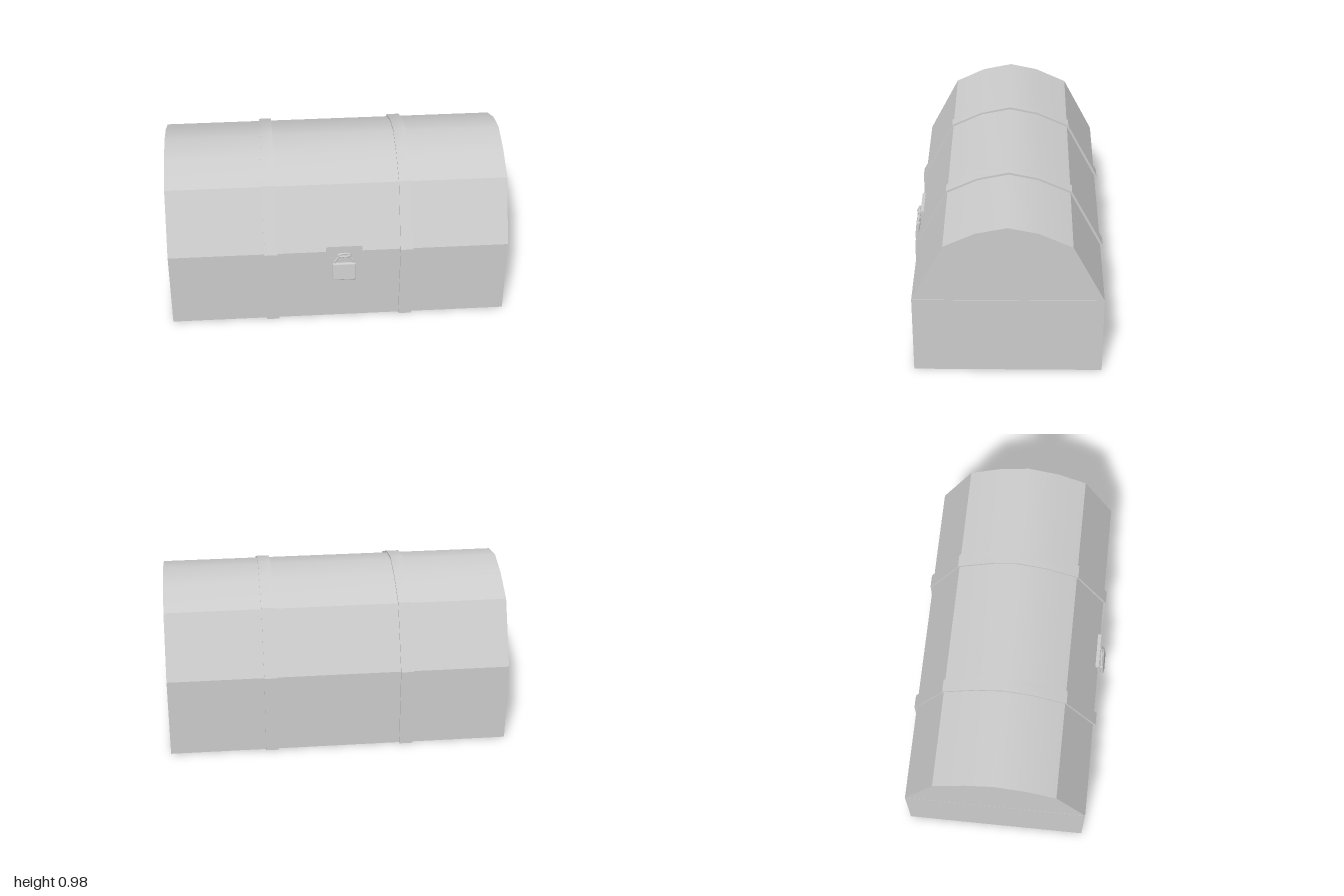
import * as THREE from 'three';
import { toCreasedNormals } from 'three/addons/utils/BufferGeometryUtils.js';
import { RoundedBoxGeometry } from 'three/addons/geometries/RoundedBoxGeometry.js';

const material = new THREE.MeshStandardMaterial({ color: 0xcccccc });
const SEAM = 0.488;

// Cross-sections as [z, y], front to back
const lidProfile = [[0.523, SEAM], [0.342, 0.84], [0.166, 0.925], [-0.012, 0.963],
  [-0.18, 0.927], [-0.368, 0.84], [-0.55, SEAM]];
const strapProfile = [[0.539, SEAM], [0.35, 0.85], [0.168, 0.935], [-0.012, 0.976],
  [-0.182, 0.939], [-0.377, 0.85], [-0.565, SEAM]];

function addMesh(parent, name, geometry, x = 0, y = 0, z = 0) {
  const mesh = new THREE.Mesh(geometry, material);
  mesh.name = name;
  mesh.position.set(x, y, z);
  parent.add(mesh);
  return mesh;
}

// Extrudes a [z, y] outline along x, centred on x = 0
function extrudeAlongX(outline, width) {
  const shape = new THREE.Shape(outline.map(([z, y]) => new THREE.Vector2(z, y)));
  const geometry = new THREE.ExtrudeGeometry(shape, { depth: width, bevelEnabled: false });
  geometry.translate(0, 0, -width / 2).rotateY(-Math.PI / 2);
  return toCreasedNormals(geometry, THREE.MathUtils.degToRad(30));
}

function boxBetween(parent, name, x, width, y0, y1, z0, z1) {
  const geometry = new THREE.BoxGeometry(width, y1 - y0, z1 - z0);
  return addMesh(parent, name, geometry, x, (y0 + y1) / 2, (z0 + z1) / 2);
}

function tube(points, radius, segments, closed = false) {
  const curve = new THREE.CatmullRomCurve3(
    points.map((p) => new THREE.Vector3(...p)), closed, 'centripetal');
  return new THREE.TubeGeometry(curve, segments, radius, 8, closed);
}

function createStrap(x) {
  const strap = new THREE.Group();
  strap.name = x > 0 ? 'leftStrap' : 'rightStrap';
  const width = 0.075;
  boxBetween(strap, 'frontStrap', x, width, 0, SEAM, 0.523, 0.539);
  boxBetween(strap, 'backStrap', x, width, 0, SEAM, -0.565, -0.55);
  const arch = [...strapProfile, ...[...lidProfile].reverse()];
  addMesh(strap, 'lidStrap', extrudeAlongX(arch, width), x);
  return strap;
}

function createLock() {
  const lock = new THREE.Group();
  lock.name = 'lock';
  lock.position.x = 0.03;

  // Hasp plate and the staple the padlock hangs from
  boxBetween(lock, 'haspPlate', 0, 0.213, 0.415, 0.522, 0.507, 0.527);
  addMesh(lock, 'staple', tube([
    [-0.034, 0.465, 0.52], [-0.034, 0.465, 0.534], [-0.022, 0.465, 0.546],
    [0.022, 0.465, 0.546], [0.034, 0.465, 0.534], [0.034, 0.465, 0.52],
  ], 0.007, 20));

  // Padlock, tilted so that its lower end leans outward
  const padlock = new THREE.Group();
  padlock.name = 'padlock';
  padlock.position.set(0, 0.415, 0.546);
  padlock.rotation.x = -0.11;
  addMesh(padlock, 'padlockBody', new RoundedBoxGeometry(0.14, 0.118, 0.024, 3, 0.01), 0, -0.056, 0);
  addMesh(padlock, 'shackle', tube([
    [-0.057, -0.01, 0], [-0.055, 0.012, 0], [-0.036, 0.04, 0], [-0.03, 0.058, 0],
    [0.03, 0.058, 0], [0.036, 0.04, 0], [0.055, 0.012, 0], [0.057, -0.01, 0],
  ], 0.007, 32));
  lock.add(padlock);
  return lock;
}

export function createModel() {
  const chest = new THREE.Group();
  chest.name = 'chest';

  boxBetween(chest, 'body', 0, 2, 0, SEAM - 0.003, -0.55, 0.523);
  addMesh(chest, 'lid', extrudeAlongX(lidProfile, 2));
  for (const x of [-0.398, 0.4]) chest.add(createStrap(x));
  chest.add(createLock());

  return chest;
}
